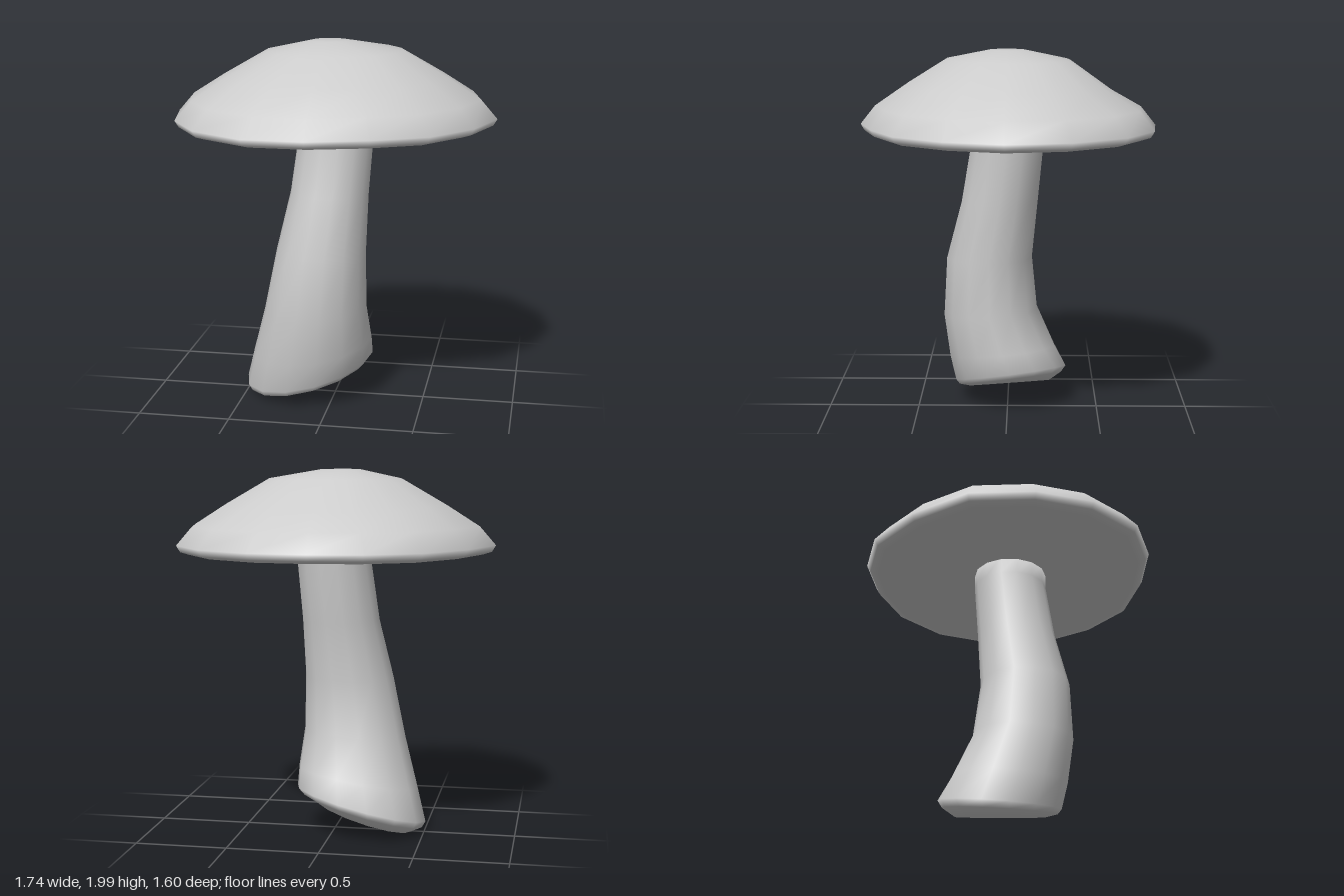
import * as THREE from 'three';

// Smooth skin over a stack of rings (bottom to top), closed with a fan at both ends.
function loft(name, rings, startPoint, endPoint) {
  const n = rings[0].length;
  const points = [...rings.flat(), startPoint, endPoint];
  const first = rings.length * n, last = first + 1, top = (rings.length - 1) * n;
  const index = [];
  for (let j = 0; j < n; j++) {
    const k = (j + 1) % n;
    for (let i = 0; i < rings.length - 1; i++) {
      const a = i * n + j, b = i * n + k;
      index.push(a, a + n, b, b, a + n, b + n);
    }
    index.push(first, j, k, top + j, last, top + k);
  }
  const geometry = new THREE.BufferGeometry();
  geometry.setAttribute('position', new THREE.Float32BufferAttribute(points.flat(), 3));
  geometry.setIndex(index);
  geometry.computeVertexNormals();
  const mesh = new THREE.Mesh(geometry, new THREE.MeshStandardMaterial({ color: 0xcccccc }));
  mesh.name = name;
  return mesh;
}

// Cap: one uneven 16-sided outline, scaled along a dome profile.
function createCap() {
  const outline = [
    [0.87, 0], [0.77, 0.31], [0.57, 0.57], [0.29, 0.71],
    [-0.02, 0.8], [-0.34, 0.79], [-0.63, 0.61], [-0.8, 0.34],
    [-0.87, 0], [-0.75, -0.34], [-0.55, -0.62], [-0.28, -0.76],
    [0, -0.8], [0.31, -0.77], [0.6, -0.61], [0.8, -0.33],
  ];
  // scale, height: underside, rim, dome
  const profile = [
    [0.28, 1.58], [0.6, 1.56], [0.92, 1.55], [0.975, 1.565], [1, 1.6],
    [0.9, 1.7], [0.7, 1.81], [0.42, 1.95], [0.12, 2],
  ];
  const rings = profile.map(([s, y]) => outline.map(([x, z]) => {
    // slight dent on the back slope
    const dent = s > 0.5 && s < 0.8 && y > 1.7 && z < -0.6 ? 0.02 : 0;
    return [x * s - (y > 1.98 ? 0.03 : 0), y - dent, z * s];
  }));
  return loft('cap', rings, [0, 1.59, 0], [-0.03, 2, 0]);
}

// Stem: bent, with a slanted cut foot.
function createStem() {
  // left x, right x, back z, front z, height at centre, slope along x, slope along z
  const sections = [
    [-0.43, 0.11, -0.24, 0.22, 0.09, 0.31, -0.08],
    [-0.49, 0.18, -0.31, 0.28, 0.125, 0.27, -0.13],
    [-0.51, 0.21, -0.335, 0.3, 0.16, 0.25, -0.14],
    [-0.46, 0.21, -0.27, 0.33, 0.3, 0.16, -0.1],
    [-0.38, 0.19, -0.17, 0.36, 0.54, 0.06, -0.06],
    [-0.31, 0.185, -0.14, 0.34, 0.86, 0, 0],
    [-0.24, 0.19, -0.17, 0.255, 1.18, 0, 0],
    [-0.2, 0.21, -0.2, 0.2, 1.5, 0, 0],
    [-0.2, 0.21, -0.2, 0.2, 1.6, 0, 0],
  ];
  const sides = 14;
  const rings = sections.map(([x0, x1, z0, z1, y, sx, sz]) =>
    Array.from({ length: sides }, (_, j) => {
      const a = (j / sides) * Math.PI * 2;
      const dx = Math.cos(a) * (x1 - x0) / 2, dz = Math.sin(a) * (z1 - z0) / 2;
      return [(x0 + x1) / 2 + dx, Math.max(0, y + dx * sx + dz * sz), (z0 + z1) / 2 + dz];
    }));
  return loft('stem', rings, [-0.16, 0.1, -0.01], [0, 1.6, 0]);
}

export function createModel() {
  const group = new THREE.Group();
  group.name = 'mushroom';
  group.add(createStem(), createCap());
  return group;
}
